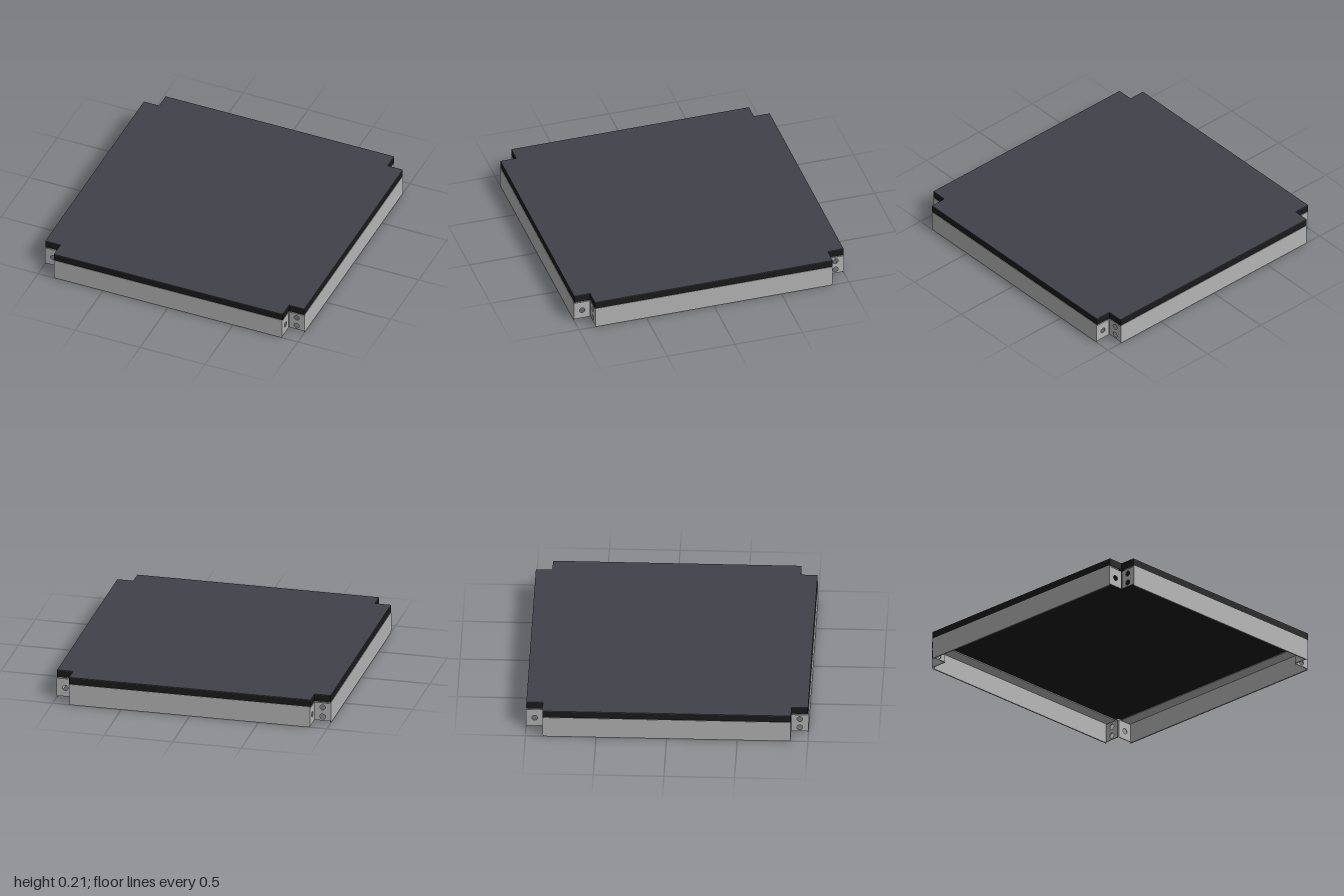
import * as THREE from 'three';

const metal = new THREE.MeshStandardMaterial({ color: 0xb4b4b4 });
metal.name = 'bare metal';
const black = new THREE.MeshStandardMaterial({ color: 0x1a191b });
black.name = 'black core';
const slate = new THREE.MeshStandardMaterial({ color: 0x41414a });
slate.name = 'slate surface';

const T = 0.006;      // sheet thickness
const NOTCH = 0.88;   // inner edge of the corner notches
const WALL_TOP = 0.155;

function box(name, w, h, d, x, y, z) {
  const mesh = new THREE.Mesh(new THREE.BoxGeometry(w, h, d), metal);
  mesh.name = name;
  mesh.position.set(x, y, z);
  return mesh;
}

// Square plate with its four corners notched out
function notchedPlate(name, y, height, material) {
  const e = 0.997, n = NOTCH;
  const shape = new THREE.Shape([
    [-n, -e], [n, -e], [n, -n], [e, -n], [e, n], [n, n],
    [n, e], [-n, e], [-n, n], [-e, n], [-e, -n], [-n, -n],
  ].map(([x, z]) => new THREE.Vector2(x, z)));
  const geometry = new THREE.ExtrudeGeometry(shape, { depth: height, bevelEnabled: false });
  geometry.rotateX(-Math.PI / 2);
  const mesh = new THREE.Mesh(geometry, material);
  mesh.name = name;
  mesh.position.y = y;
  return mesh;
}

// Upright end tab with bolt holes, its outer face turned to +x or -x
function endTab(side, holeHeights) {
  const shape = new THREE.Shape();
  shape.moveTo(-1, 0.01).lineTo(-NOTCH, 0.01).lineTo(-NOTCH, 0.145).lineTo(-1, 0.145).closePath();
  for (const y of holeHeights) {
    const hole = new THREE.Path();
    hole.absarc(-0.938, y, 0.02, 0, Math.PI * 2, true);
    shape.holes.push(hole);
  }
  const geometry = new THREE.ExtrudeGeometry(shape, { depth: T, bevelEnabled: false, curveSegments: 16 });
  geometry.rotateY(Math.PI / 2);
  const mesh = new THREE.Mesh(geometry, metal);
  mesh.name = 'boltTab';
  mesh.position.x = side > 0 ? NOTCH - 0.002 - T : -NOTCH + 0.002;
  return mesh;
}

// One folded rail along the front edge
function rail() {
  const g = new THREE.Group();
  g.name = 'edgeRail';
  const length = 2 * 0.876;
  g.add(
    box('railWall', length, WALL_TOP, T, 0, WALL_TOP / 2, 1 - T / 2),
    box('railHem', length - 0.02, 0.05, 0.004, 0, 0.025, 1 - T - 0.002),
    box('railTopFlange', length, T, 0.09, 0, WALL_TOP - T / 2, 1 - T - 0.045),
    endTab(1, [0.075]),
    endTab(-1, [0.04, 0.11]),
  );
  return g;
}

export function createModel() {
  const model = new THREE.Group();
  model.name = 'floorPanel';

  // Deck: dark core with a thin walking surface
  model.add(notchedPlate('deckCore', WALL_TOP, 0.048, black));
  model.add(notchedPlate('deckSurface', WALL_TOP + 0.048, 0.005, slate));

  // Four rails, each a quarter turn on from the last
  for (let i = 0; i < 4; i++) {
    const r = rail();
    r.rotation.y = i * Math.PI / 2;
    model.add(r);
  }
  return model;
}
